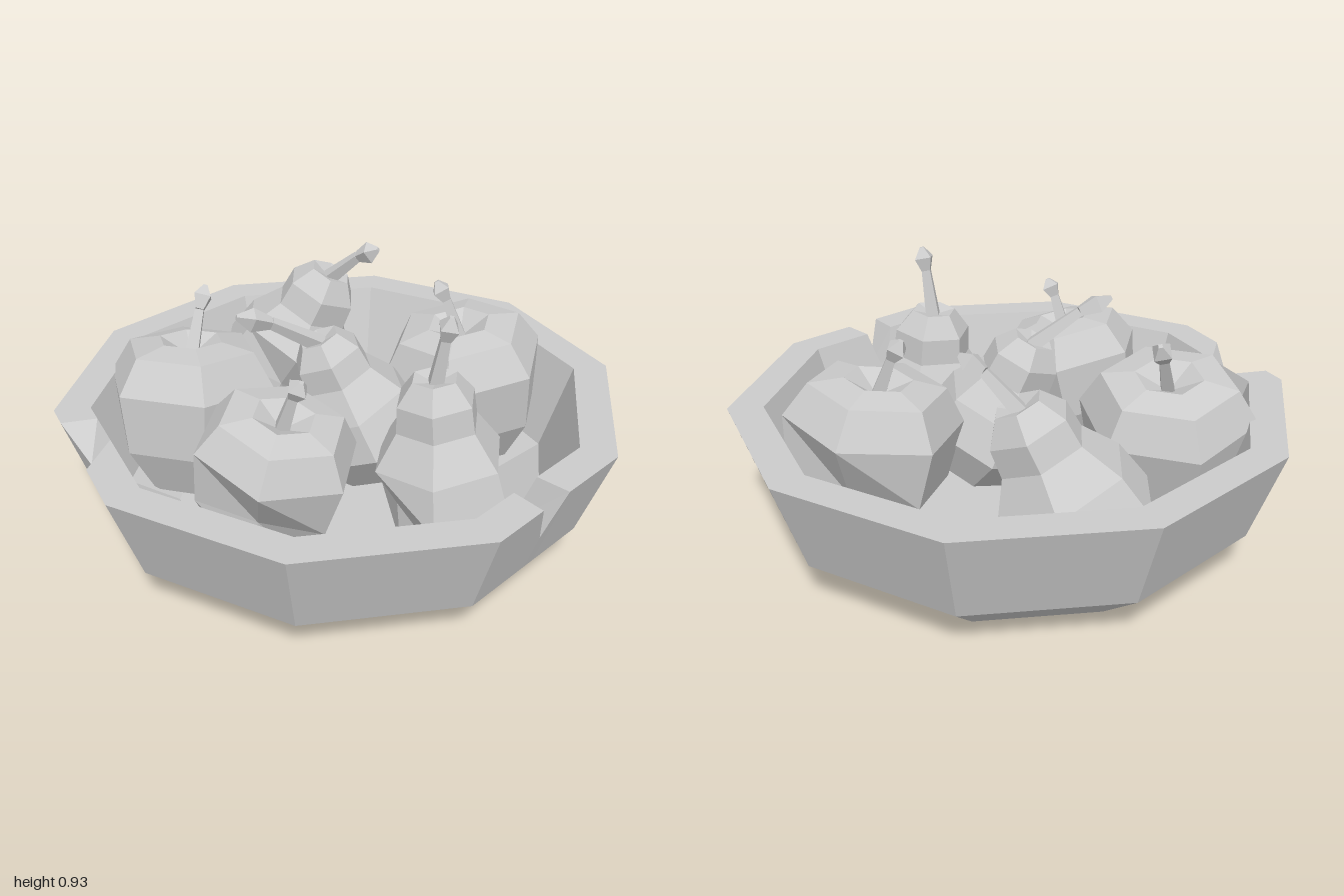
import * as THREE from 'three';

const material = new THREE.MeshStandardMaterial({ color: 0xcccccc, flatShading: true, side: THREE.DoubleSide });
const UP = new THREE.Vector3(0, 1, 0);

function addMesh(parent, geometry, name) {
  const mesh = new THREE.Mesh(geometry, material);
  mesh.name = name;
  parent.add(mesh);
  return mesh;
}

// Ten-sided bowl; extra cross-sections along two sides form the V notch and the rim chip
function bowlGeometry() {
  const SIDES = 10;
  const profile = [[0, 0], [0.69, 0], [0.89, 0.165], [1, 0.49], [0.875, 0.49], [0.77, 0.17], [0.6, 0.07], [0, 0.07]];
  const withRim = (outer, inner) => profile.map((p, i) => (i === 3 ? outer : i === 4 ? inner : p));
  const notch = withRim([0.94, 0.31], [0.816, 0.31]);
  const chip = withRim([0.95, 0.41], [0.875, 0.49]);
  const extras = {
    2: [[0.44, profile], [0.52, notch], [0.66, profile]],
    5: [[0.34, profile], [0.57, chip], [0.85, profile]],
  };
  const corner = (i) => {
    const a = (i / SIDES) * Math.PI * 2;
    return new THREE.Vector2(Math.cos(a), Math.sin(a));
  };
  const sections = [];
  for (let i = 0; i < SIDES; i++) {
    for (const [t, points] of [[0, profile], ...(extras[i] || [])]) {
      const d = corner(i).lerp(corner(i + 1), t);
      sections.push(points.map(([r, y]) => [d.x * r, y, d.y * r]));
    }
  }
  const positions = [];
  sections.forEach((a, i) => {
    const b = sections[(i + 1) % sections.length];
    for (let j = 0; j < a.length - 1; j++) {
      if (j < a.length - 2) positions.push(...a[j], ...a[j + 1], ...b[j + 1]);
      else positions.push(...a[j], ...a[j + 1], ...b[j]);
      if (j > 0 && j < a.length - 2) positions.push(...a[j], ...b[j + 1], ...b[j]);
    }
  });
  const geometry = new THREE.BufferGeometry();
  geometry.setAttribute('position', new THREE.Float32BufferAttribute(positions, 3));
  geometry.computeVertexNormals();
  return geometry;
}

// Tapered four-sided bar between two points
function addBar(parent, from, to, r0, r1, name) {
  const dir = to.clone().sub(from);
  const bar = addMesh(parent, new THREE.CylinderGeometry(r1, r0, dir.length(), 4), name);
  bar.position.copy(from).addScaledVector(dir, 0.5);
  bar.quaternion.setFromUnitVectors(UP, dir.normalize());
}

// Fruit outlines, radius and height in units of the widest radius
const APPLE = [[0, -1], [0.55, -1.1], [0.9, -0.55], [1, 0.15], [0.76, 0.54], [0.38, 0.62], [0, 0.42]];
const PEAR = [[0, -0.75], [0.6, -0.75], [1, -0.15], [0.86, 0.4], [0.55, 0.85], [0.52, 1.2], [0.3, 1.48], [0, 1.4]];

// Six-sided body; each bite [column, row] pulls one corner in towards the axis
function bodyGeometry(outline, radius, turn, bites) {
  const points = outline.map(([r, y]) => new THREE.Vector2(r * radius, y * radius));
  const geometry = new THREE.LatheGeometry(points, 6, turn);
  const position = geometry.attributes.position;
  for (const [column, row] of bites) {
    for (const c of column === 0 ? [0, 6] : [column]) {
      const k = c * points.length + row;
      position.setX(k, position.getX(k) * 0.6);
      position.setZ(k, position.getZ(k) * 0.6);
    }
  }
  geometry.computeVertexNormals();
  return geometry;
}

// Fruit leaning along an axis, with a bent stem ending in a flared, pointed tip
function addFruit(parent, { name, outline, radius, center, axis, turn, tip, bites }) {
  const group = new THREE.Group();
  group.name = name;
  parent.add(group);
  const dir = new THREE.Vector3(...axis).normalize();
  const c = new THREE.Vector3(...center);
  const body = addMesh(group, bodyGeometry(outline, radius, turn, bites), name + 'Body');
  body.position.copy(c);
  body.quaternion.setFromUnitVectors(UP, dir);

  const base = c.clone().addScaledVector(dir, outline[outline.length - 1][1] * radius - 0.01);
  const end = new THREE.Vector3(...tip);
  const bend = base.clone().lerp(end, 0.6).addScaledVector(UP, 0.02);
  const flare = bend.clone().lerp(end, 0.55);
  addBar(group, base, bend, 0.034, 0.022, name + 'Stem');
  addBar(group, bend, flare, 0.022, 0.042, name + 'StemFlare');
  addBar(group, flare, end, 0.042, 0.01, name + 'StemTip');
}

export function createModel() {
  const model = new THREE.Group();
  model.name = 'fruitBowl';
  addMesh(model, bowlGeometry(), 'bowl');

  const fruits = [
    { name: 'backRightApple', outline: APPLE, radius: 0.315, center: [-0.32, 0.43, -0.45], axis: [0.14, 1, -0.1], turn: Math.PI / 6, tip: [-0.17, 0.78, -0.52], bites: [] },
    { name: 'rightApple', outline: APPLE, radius: 0.28, center: [-0.44, 0.46, 0.14], axis: [0.08, 1, 0.2], turn: 0.1, tip: [-0.41, 0.77, 0.24], bites: [[5, 2]] },
    { name: 'leftApple', outline: APPLE, radius: 0.31, center: [0.49, 0.45, 0.17], axis: [-0.12, 1, -0.08], turn: 0, tip: [0.43, 0.79, 0.07], bites: [[2, 2]] },
    { name: 'frontPear', outline: PEAR, radius: 0.27, center: [0.02, 0.3, 0.46], axis: [-0.04, 1, -0.08], turn: 0.1, tip: [0.01, 0.93, 0.48], bites: [[1, 2], [4, 2]] },
    { name: 'centerPear', outline: PEAR, radius: 0.25, center: [0.04, 0.36, 0.07], axis: [-0.3, 1, -0.34], turn: 0.4, tip: [-0.32, 0.82, -0.17], bites: [] },
    { name: 'backLeftPear', outline: PEAR, radius: 0.28, center: [0.24, 0.33, -0.54], axis: [0.32, 1, 0.36], turn: 0.25, tip: [0.43, 0.83, -0.22], bites: [[5, 2]] },
  ];
  fruits.forEach((fruit) => addFruit(model, fruit));
  return model;
}
